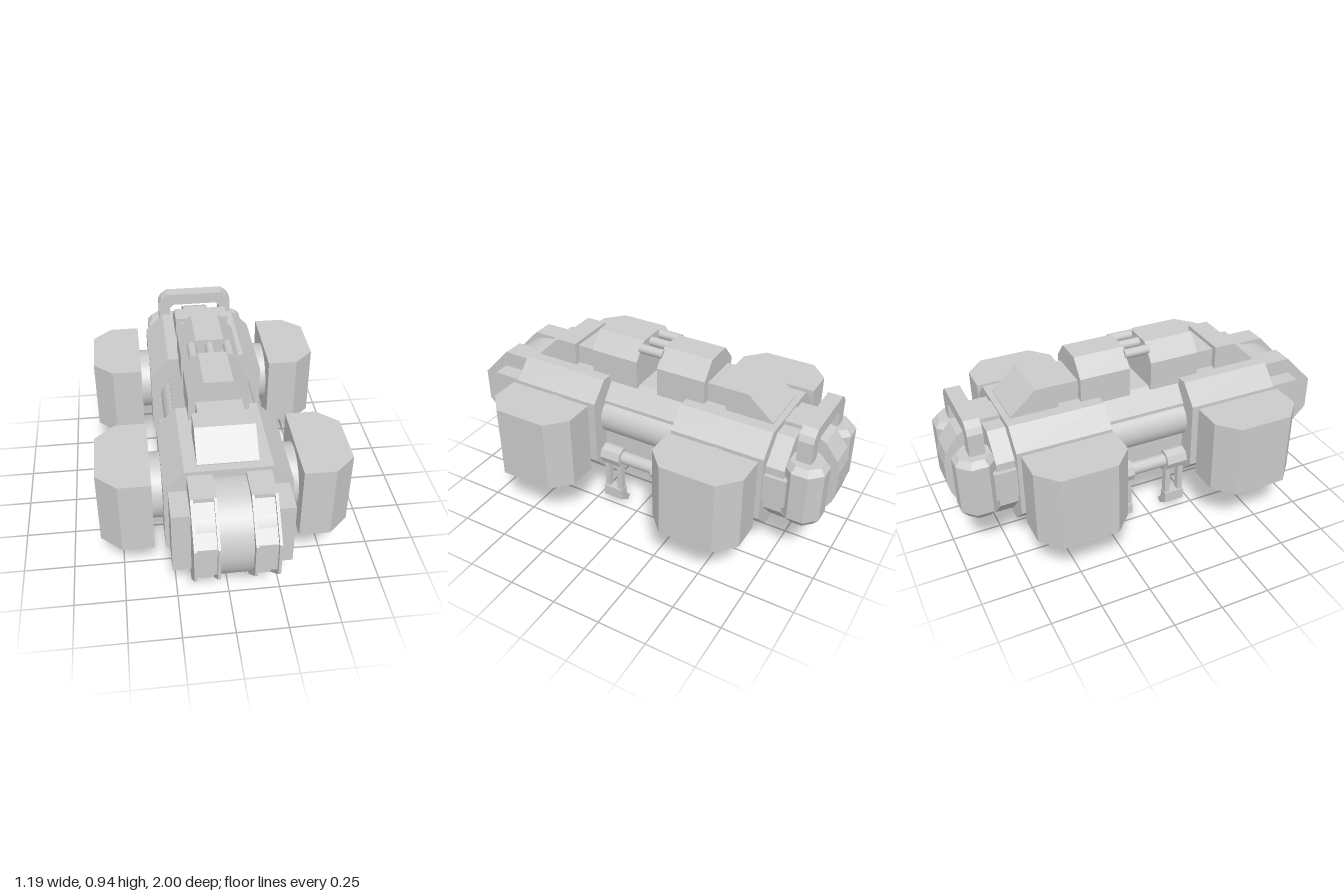
import * as THREE from 'three';

const mat = new THREE.MeshStandardMaterial({ color: 0xcccccc, flatShading: true });
const smooth = new THREE.MeshStandardMaterial({ color: 0xcccccc });

export function createModel() {
  const root = new THREE.Group();

  function add(name, geo, x = 0, y = 0, z = 0, m = mat) {
    const mesh = new THREE.Mesh(geo, m);
    mesh.name = name;
    mesh.position.set(x, y, z);
    root.add(mesh);
    return mesh;
  }

  // Box from opposite corners
  function box(name, x0, x1, y0, y1, z0, z1) {
    return add(name, new THREE.BoxGeometry(x1 - x0, y1 - y0, z1 - z0),
      (x0 + x1) / 2, (y0 + y1) / 2, (z0 + z1) / 2);
  }

  // Prism along an axis: 'x' takes [z, y] points, 'y' takes [x, z], 'z' takes [x, y]
  function prism(name, axis, pts, from, to) {
    const shape = new THREE.Shape(pts.map(p => new THREE.Vector2(p[0], p[1])));
    const geo = new THREE.ExtrudeGeometry(shape, { depth: to - from, bevelEnabled: false });
    if (axis === 'x') geo.rotateY(-Math.PI / 2).translate(to, 0, 0);
    if (axis === 'y') geo.rotateX(Math.PI / 2).translate(0, to, 0);
    if (axis === 'z') geo.translate(0, 0, from);
    return add(name, geo);
  }

  // Cylinder along x or z
  function rod(name, axis, r, len, x, y, z, sides = 12, m = smooth) {
    const geo = new THREE.CylinderGeometry(r, r, len, sides);
    if (axis === 'x') geo.rotateZ(Math.PI / 2);
    if (axis === 'z') geo.rotateX(Math.PI / 2);
    return add(name, geo, x, y, z, m);
  }

  // Rectangle with cut corners
  const octagon = (w, y0, y1, cx, cy) => [
    [-w + cx, y0], [w - cx, y0], [w, y0 + cy], [w, y1 - cy],
    [w - cx, y1], [-w + cx, y1], [-w, y1 - cy], [-w, y0 + cy]];

  // Hull sections and the narrower waist
  const hull = octagon(0.295, 0.19, 0.73, 0.095, 0.095);
  prism('frontHull', 'z', hull, 0.21, 0.69);
  prism('rearHull', 'z', hull, -0.71, -0.23);
  prism('waist', 'z', octagon(0.2, 0.215, 0.71, 0.08, 0.1), -0.23, 0.21);

  // Roof blocks, sloped hatches and linking pipes
  const roof = [[-0.145, 0.7], [0.145, 0.7], [0.145, 0.85], [0.07, 0.935], [-0.07, 0.935], [-0.145, 0.85]];
  prism('frontRoofBlock', 'z', roof, 0.05, 0.31);
  prism('rearRoofBlock', 'z', roof, -0.325, -0.065);
  for (const x of [-0.09, 0, 0.09]) rod('roofPipe', 'z', 0.024, 0.13, x, 0.903, -0.007);
  prism('frontHatch', 'x', [[0.42, 0.72], [0.65, 0.72], [0.65, 0.735], [0.53, 0.85], [0.42, 0.85]], -0.14, 0.14);
  prism('rearHatch', 'x', [[-0.44, 0.72], [-0.44, 0.85], [-0.55, 0.85], [-0.68, 0.735], [-0.68, 0.72]], -0.14, 0.14);
  box('frontRoofStep', -0.11, 0.11, 0.7, 0.83, 0.3, 0.43);
  box('rearRoofStep', -0.11, 0.11, 0.7, 0.83, -0.45, -0.32);

  // Nose drum and its side plates
  rod('noseDrum', 'x', 0.23, 0.36, 0, 0.465, 0.74, 40);
  box('noseSidePlates', -0.275, 0.275, 0.3, 0.625, 0.68, 0.855);

  // Rear plate and curved centre band
  prism('rearPlate', 'z', octagon(0.26, 0.22, 0.7, 0.11, 0.12), -0.8, -0.7);
  prism('rearBand', 'x', [[-0.7, 0.21], [-0.7, 0.72], [-0.81, 0.72], [-0.92, 0.665], [-0.985, 0.58],
    [-1, 0.52], [-1, 0.41], [-0.985, 0.345], [-0.94, 0.27], [-0.87, 0.21]], -0.07, 0.07);

  // Handle arching over the tanks
  prism('handle', 'z', [[-0.21, 0.56], [-0.145, 0.56], [-0.145, 0.705], [-0.125, 0.725], [0.125, 0.725],
    [0.145, 0.705], [0.145, 0.56], [0.21, 0.56], [0.21, 0.735], [0.195, 0.765], [0.16, 0.79],
    [-0.16, 0.79], [-0.195, 0.765], [-0.21, 0.735]], -0.905, -0.83);

  const frame = [[0.68, 0.22], [0.845, 0.22], [1, 0.375], [1, 0.55], [0.845, 0.71], [0.68, 0.71]];
  const panel = [[0.68, 0.235], [0.835, 0.235], [0.98, 0.385], [0.98, 0.54], [0.835, 0.695], [0.68, 0.695]];
  const podZ = { front: 0.445, rear: -0.473 };
  const legZ = { front: 0.145, rear: -0.155 };

  for (const s of [-1, 1]) {
    const span = (a, b) => (s > 0 ? [a, b] : [-b, -a]);

    // Nose window strips: two rims around a recessed panel
    prism('noseRim', 'x', frame, ...span(0.075, 0.087));
    prism('noseRim', 'x', frame, ...span(0.177, 0.19));
    prism('nosePanel', 'x', panel, ...span(0.087, 0.177));
    box('noseRimTop', ...span(0.075, 0.19), 0.69, 0.71, 0.68, 0.845);
    box('noseRimBottom', ...span(0.075, 0.19), 0.22, 0.24, 0.68, 0.845);

    // Side pods on round mounts
    for (const [end, z] of Object.entries(podZ)) {
      rod(end + 'PodMount', 'x', 0.158, 0.12, s * 0.31, 0.462, z, 32);
      const plan = [[0.345, -0.23], [0.497, -0.23], [0.597, -0.138], [0.597, 0.138], [0.497, 0.23], [0.345, 0.23]];
      prism(end + 'Pod', 'y', plan.map(([x, dz]) => [s * x, z + dz]), 0.27, 0.655);
    }

    // Waist pipes
    rod('waistPipe', 'z', 0.1, 0.46, s * 0.145, 0.51, -0.01, 24);
    rod('legRail', 'z', 0.035, 0.46, s * 0.225, 0.31, -0.01, 12);

    // Legs: collar, struts, foot and three claws
    for (const [end, z] of Object.entries(legZ)) {
      rod(end + 'LegCollar', 'z', 0.055, 0.11, s * 0.225, 0.31, z, 8, mat);
      for (const dz of [-0.037, 0, 0.037]) {
        if (dz) box(end + 'LegStrut', ...span(0.212, 0.245), 0.09, 0.29, z + dz - 0.014, z + dz + 0.014);
        const claw = [[0.225, 0.075], [0.21, 0.06], [0.165, 0.018], [0.188, 0], [0.255, 0.045], [0.255, 0.075]];
        prism(end + 'Claw', 'z', claw.map(([x, y]) => [s * x, y]), z + dz - 0.014, z + dz + 0.014);
      }
      const foot = [[0.208, 0.105], [0.208, 0.07], [0.195, 0.05], [0.22, 0.035], [0.255, 0.045], [0.255, 0.105]];
      prism(end + 'Foot', 'z', foot.map(([x, y]) => [s * x, y]), z - 0.054, z + 0.054);
    }

    // Rear tanks with bevelled ends, and their clips
    const profile = [[0, 0.295], [0.075, 0.295], [0.107, 0.335], [0.107, 0.595], [0.08, 0.625], [0, 0.625]];
    const tank = new THREE.LatheGeometry(profile.map(p => new THREE.Vector2(...p)), 8);
    tank.rotateY(Math.PI / 8);
    add('rearTank', tank, s * 0.178, 0, -0.878);
    box('tankClip', ...span(0.2, 0.28), 0.39, 0.54, -0.82, -0.7);
  }

  return root;
}
